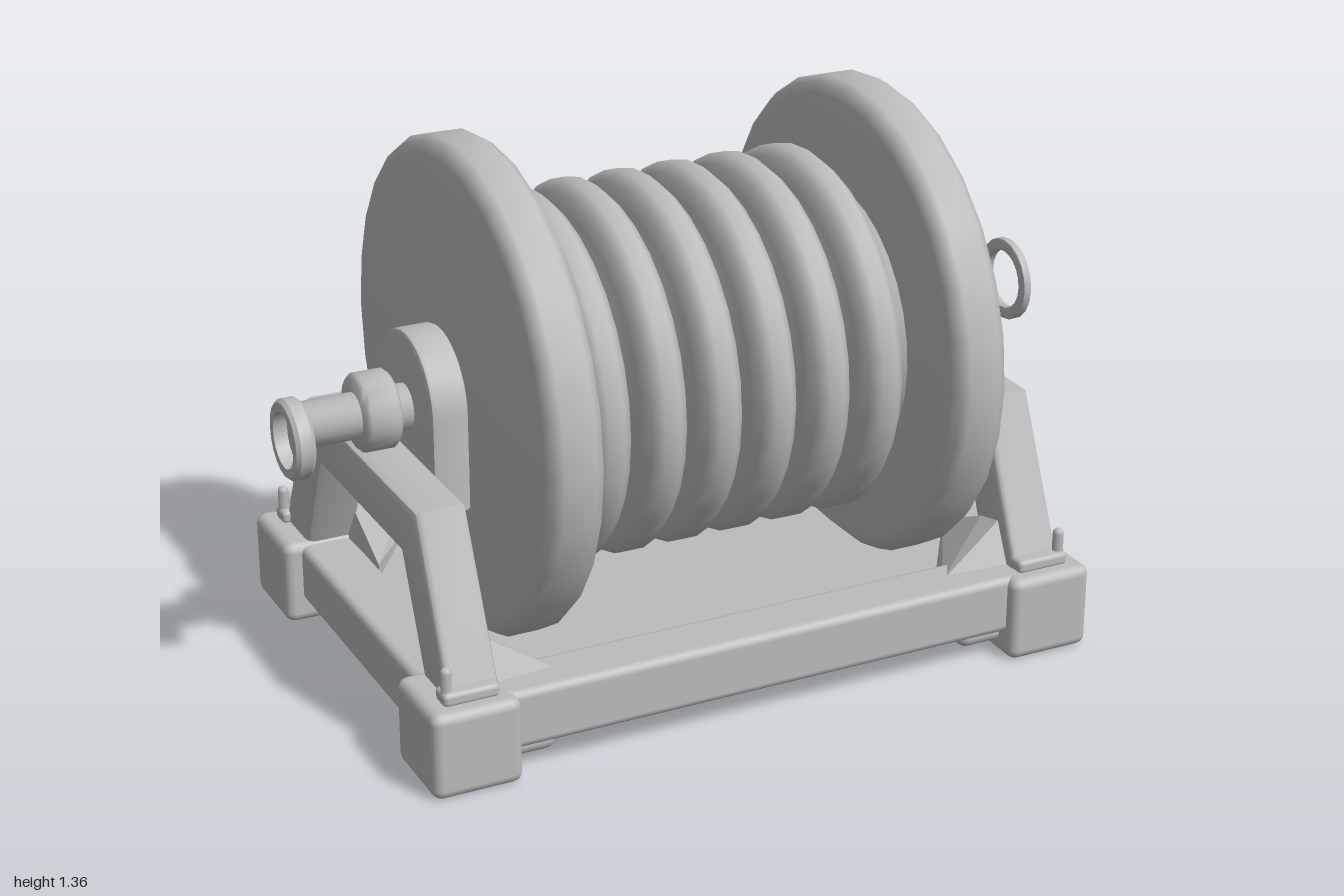
import * as THREE from 'three';
import { RoundedBoxGeometry } from 'three/addons/geometries/RoundedBoxGeometry.js';
import { ConvexGeometry } from 'three/addons/geometries/ConvexGeometry.js';
import { toCreasedNormals } from 'three/addons/utils/BufferGeometryUtils.js';

export function createModel() {
  const model = new THREE.Group();
  const steel = new THREE.MeshStandardMaterial({ color: 0xbcbcbc });
  steel.name = 'greySteel';

  const add = (name, geometry) => {
    const mesh = new THREE.Mesh(geometry, steel);
    mesh.name = name;
    model.add(mesh);
    return mesh;
  };
  // Rounded box given by its limits on each axis
  const block = (name, [x0, x1], [y0, y1], [z0, z1], r = 0.02) => {
    const mesh = add(name, new RoundedBoxGeometry(x1 - x0, y1 - y0, z1 - z0, 2, r));
    mesh.position.set((x0 + x1) / 2, (y0 + y1) / 2, (z0 + z1) / 2);
  };
  // Solid of revolution about the x axis; points are [x, radius]
  const turned = (name, points, y, segments = 24, crease = 0.9) => {
    const profile = points.map(([x, r]) => new THREE.Vector2(r, x));
    const geometry = new THREE.LatheGeometry(profile, segments).rotateZ(-Math.PI / 2);
    add(name, toCreasedNormals(geometry, crease)).position.y = y;
  };
  const drumTurn = (name, x0, x1, r, y, b = 0.01) =>
    turned(name, [[x0, 0], [x0, r - b], [x0 + b, r], [x1 - b, r], [x1, r - b], [x1, 0]], y);
  // Outline in the z-y plane, extruded from x0 to x1
  const sidePlate = (name, shape, x0, x1, bevel) => {
    const geometry = new THREE.ExtrudeGeometry(shape, {
      depth: x1 - x0 - 2 * bevel, bevelSize: bevel, bevelThickness: bevel,
      bevelOffset: -bevel, bevelSegments: 2, curveSegments: 10,
    });
    geometry.rotateY(Math.PI / 2).translate(x0 + bevel, 0, 0);
    add(name, toCreasedNormals(geometry, 0.7));
  };

  // Reel end discs
  const disc = (name, x0, x1) => turned(name, [
    [x0, 0], [x0, 0.57], [x0 + 0.008, 0.598], [x0 + 0.03, 0.613],
    [x1 - 0.03, 0.613], [x1 - 0.008, 0.598], [x1, 0.57], [x1, 0],
  ], 0.745, 28);
  disc('rightDisc', -0.58, -0.44);
  disc('leftDisc', 0.48, 0.62);

  // Wound cable: six bulging turns with valleys between
  const coil = [[-0.45, 0], [-0.45, 0.36], [-0.415, 0.34]];
  for (let i = 0; i < 6; i++) {
    const x = -0.35 + i * 0.145;
    coil.push([x - 0.054, 0.40], [x - 0.045, 0.442], [x - 0.02, 0.465],
      [x + 0.02, 0.465], [x + 0.045, 0.442], [x + 0.054, 0.40]);
    if (i < 5) coil.push([x + 0.0725, 0.35]);
  }
  coil.push([0.435, 0.34], [0.49, 0.37], [0.49, 0]);
  turned('woundCable', coil, 0.735, 32, 1.0);

  // Bearing plates with rounded tops
  const bearing = (bottom) => {
    const s = new THREE.Shape();
    s.moveTo(-0.17, bottom);
    s.lineTo(0.17, bottom);
    s.lineTo(0.17, 0.74);
    s.absarc(0, 0.74, 0.17, 0, Math.PI, false);
    s.closePath();
    return s;
  };
  sidePlate('rightBearing', bearing(0.5), -0.69, -0.595, 0.012);
  sidePlate('leftBearing', bearing(0.54), 0.63, 0.73, 0.012);

  // Axle, collars and end fittings
  drumTurn('rightAxle', -0.97, -0.5, 0.057, 0.72);
  drumTurn('rightCollar', -0.82, -0.73, 0.097, 0.725);
  turned('rightEndCup', [
    [-0.965, 0], [-0.965, 0.07], [-1, 0.07], [-1, 0.092],
    [-0.99, 0.1], [-0.96, 0.1], [-0.95, 0.09], [-0.95, 0],
  ], 0.69, 20, 0.6);
  drumTurn('leftAxle', 0.55, 0.912, 0.07, 0.75);
  drumTurn('leftCollar', 0.72, 0.85, 0.097, 0.745);
  const ringShape = new THREE.Shape().absarc(0, 0.76, 0.108, 0, Math.PI * 2, false);
  ringShape.holes.push(new THREE.Path().absarc(0, 0.76, 0.076, 0, Math.PI * 2, true));
  sidePlate('leftEndRing', ringShape, 0.978, 1, 0.004);

  // Trapezoid side frames
  const frame = new THREE.Shape([
    [-0.575, 0.16], [-0.41, 0.16], [-0.27, 0.48], [0.27, 0.48], [0.41, 0.16],
    [0.575, 0.16], [0.37, 0.62], [-0.37, 0.62],
  ].map(([z, y]) => new THREE.Vector2(-z, y)).reverse());
  sidePlate('rightFrame', frame, -0.82, -0.69, 0.018);
  sidePlate('leftFrame', frame, 0.7, 0.83, 0.018);

  // Floor pan
  block('floorPan', [-0.74, 0.74], [0.15, 0.17], [-0.5, 0.5], 0.005);

  const span = (sign, a, b) => (sign > 0 ? [a, b] : [-b, -a]);
  for (const s of [-1, 1]) {
    // Base rails
    block(s > 0 ? 'frontRail' : 'backRail', [-0.7, 0.7], [0.07, 0.22], span(s, 0.43, 0.58));
    block(s > 0 ? 'leftRail' : 'rightRail', span(s, 0.7, 0.84), [0.06, 0.21], [-0.42, 0.42]);

    for (const t of [-1, 1]) {
      // Corner block and the shoes under the rails beside it
      block('cornerBlock', span(s, 0.66, 0.885), [0, 0.22], span(t, 0.375, 0.61), 0.025);
      block('railShoe', span(s, 0.55, 0.7), [0.03, 0.1], span(t, 0.45, 0.55), 0.025);
      block('railShoe', span(s, 0.72, 0.81), [0.03, 0.1], span(t, 0.24, 0.42), 0.025);

      // Sloping gusset inside the corner
      const corners = [
        [0.7, 0.32, 0.46], [0.7, 0.3, 0.38], [0.52, 0.21, 0.5], [0.7, 0.21, 0.2],
        [0.72, 0.2, 0.52], [0.52, 0.17, 0.46], [0.7, 0.17, 0.2],
      ].map(([x, y, z]) => new THREE.Vector3(s * x, y, t * z));
      add('cornerGusset', new ConvexGeometry(corners));

      // Locking pin and clip
      const pin = add('lockingPin', new THREE.CapsuleGeometry(0.014, 0.09, 4, 8));
      pin.position.set(s * 0.825, 0.25, t * 0.545);
      block('pinClip', span(s, 0.7, 0.84), [0.215, 0.25], span(t, 0.51, 0.57), 0.012);
    }
  }
  return model;
}
